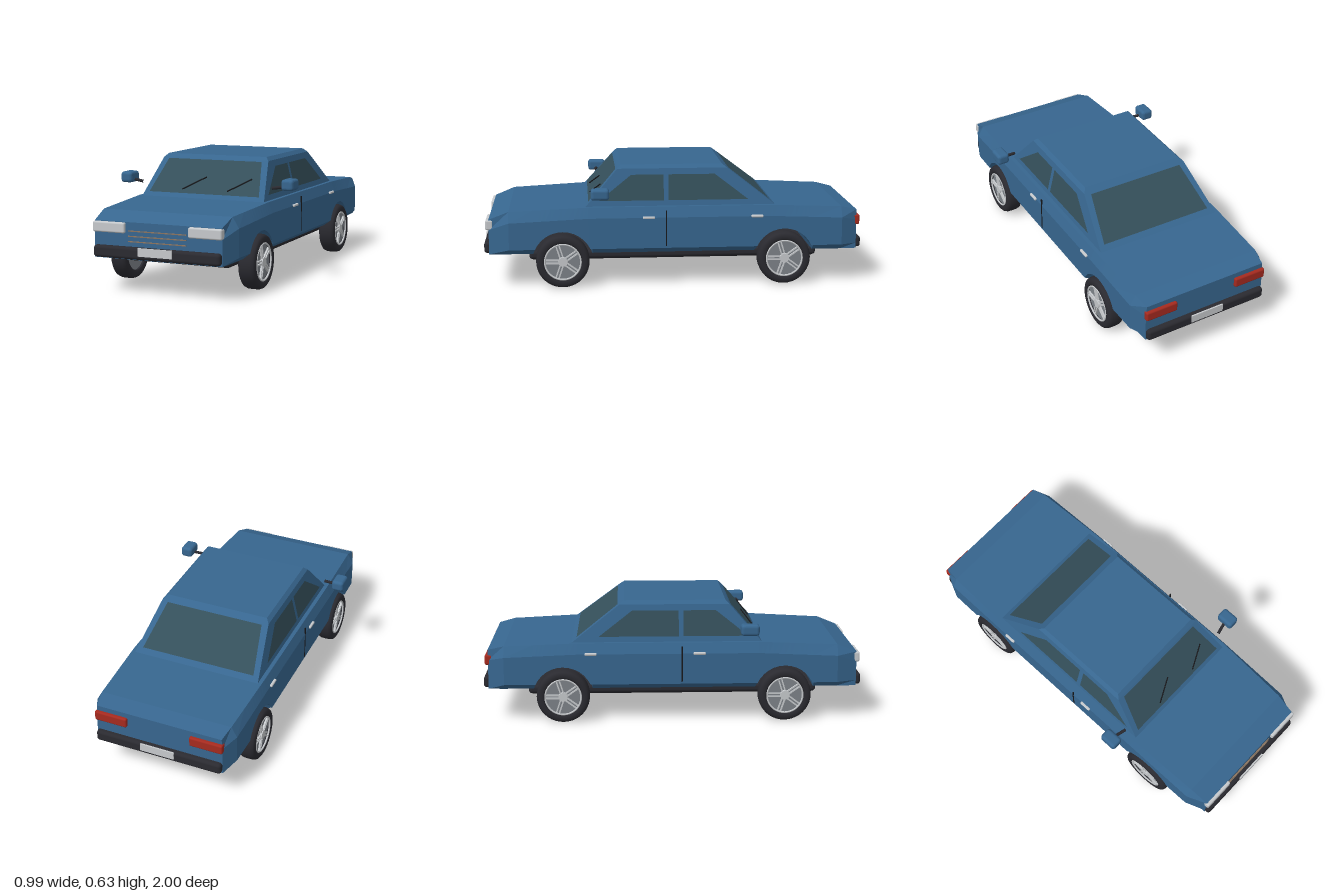
import * as THREE from 'three';
import { RoundedBoxGeometry } from 'three/addons/geometries/RoundedBoxGeometry.js';

const mat = (name, color, extra = {}) => Object.assign(new THREE.MeshStandardMaterial({ color, ...extra }), { name });

export function createModel() {
  const paint = mat('blue paint', 0x37668f, { flatShading: true });
  const glass = mat('tinted glass', 0x344f5a, { side: THREE.DoubleSide });
  const rubber = mat('dark rubber', 0x2a2a30);
  const black = mat('black trim', 0x17171a);
  const chrome = mat('chrome', 0xc6c9cc);
  const alloy = mat('alloy shadow', 0x7d8288);
  const red = mat('tail light red', 0xa52a1f);
  const bronze = mat('grille bronze', 0x8a7460);

  const car = new THREE.Group();
  car.name = 'car';
  const add = (name, geo, material, x = 0, y = 0, z = 0, parent = car) => {
    const m = new THREE.Mesh(geo, material);
    m.name = name;
    m.position.set(x, y, z);
    parent.add(m);
    return m;
  };
  const box = (w, h, d) => new THREE.BoxGeometry(w, h, d);
  const rbox = (w, h, d, r) => new RoundedBoxGeometry(w, h, d, 3, r);
  const fromTriangles = (pts) => {
    const g = new THREE.BufferGeometry();
    g.setAttribute('position', new THREE.Float32BufferAttribute(pts.flat(), 3));
    g.computeVertexNormals();
    return g;
  };
  // Flat-faced skin over rings of equal length, closed at both ends
  const loft = (rings) => {
    const t = [], n = rings[0].length, first = rings[0], last = rings[rings.length - 1];
    for (let i = 0; i < rings.length - 1; i++) {
      for (let k = 0; k < n; k++) {
        const a = rings[i][k], b = rings[i][(k + 1) % n];
        const d = rings[i + 1][k], c = rings[i + 1][(k + 1) % n];
        t.push(a, d, c, a, c, b);
      }
    }
    for (let k = 1; k < n - 1; k++) {
      t.push(first[0], first[k], first[k + 1], last[0], last[k + 1], last[k]);
    }
    return fromTriangles(t);
  };
  const panel = (c) => {
    const t = [];
    for (let k = 1; k < c.length - 1; k++) t.push(c[0], c[k], c[k + 1]);
    return fromTriangles(t);
  };

  // Lower body: stations of z, half width, deck height, deck half width
  const stations = [
    [0.97, 0.345, 0.36, 0.343], [0.865, 0.385, 0.402, 0.352], [0.45, 0.39, 0.422, 0.368],
    [-0.5, 0.39, 0.422, 0.368], [-0.885, 0.385, 0.406, 0.355], [-0.97, 0.345, 0.385, 0.34],
  ];
  const axles = [0.587, -0.578], wheelY = 0.14, archR = 0.158;
  const zs = stations.map((s) => s[0]);
  for (const a of axles) {
    for (let i = 0; i <= 14; i++) zs.push(a + archR * Math.cos(THREE.MathUtils.degToRad(13 + (154 * i) / 14)));
  }
  zs.sort((a, b) => b - a);
  const section = (z) => {
    let i = 0;
    while (i < stations.length - 2 && z < stations[i + 1][0]) i++;
    const p = stations[i], q = stations[i + 1], f = (z - p[0]) / (q[0] - p[0]);
    const [w, top, topW] = [1, 2, 3].map((k) => THREE.MathUtils.lerp(p[k], q[k], f));
    let arch = 0;
    for (const a of axles) {
      const dz = Math.abs(z - a);
      if (dz < archR) arch = wheelY + Math.sqrt(archR * archR - dz * dz);
    }
    const half = [
      [Math.min(w, 0.35), Math.max(0.176, arch)], [w, Math.max(0.205, arch)],
      [w, top - 0.055], [topW, top],
    ];
    return [...half.map(([x, y]) => [x, y, z]), ...half.reverse().map(([x, y]) => [-x, y, z])];
  };
  add('body', loft(zs.map(section)), paint);
  add('floorPan', rbox(0.58, 0.046, 1.53, 0.018), rubber, 0, 0.152, 0);
  add('floorPlate', box(0.55, 0.004, 1.49), black, 0, 0.1285, 0);

  // Cabin with sloping pillars and a chamfered roof edge: y, half width, front z, back z
  const levels = [[0.632, 0.283, 0.277, -0.255], [0.613, 0.302, 0.297, -0.28], [0.41, 0.35, 0.475, -0.545]];
  add('cabin', loft(levels.map(([y, x, f, b]) => [[x, y, f], [x, y, b], [-x, y, b], [-x, y, f]])), paint);
  const slope = (y, k) => THREE.MathUtils.mapLinear(y, 0.41, 0.613, levels[2][k], levels[1][k]);

  // Windows lie just above the cabin faces
  const screen = (k, off) => panel([[-0.313, 0.443], [0.313, 0.443], [0.268, 0.608], [-0.268, 0.608]]
    .map(([x, y]) => [x, y, slope(y, k) + off]));
  add('windscreen', screen(2, 0.004), glass);
  add('rearWindow', screen(3, -0.004), glass);
  const sideWindows = {
    frontSideWindow: [[0.395, 0.45], [0.225, 0.582], [0.055, 0.582], [0.055, 0.45]],
    rearSideWindow: [[0.03, 0.45], [0.03, 0.582], [-0.215, 0.582], [-0.39, 0.45]],
  };
  for (const s of [1, -1]) {
    for (const [name, pts] of Object.entries(sideWindows)) {
      add(name, panel(pts.map(([z, y]) => [s * (slope(y, 1) + 0.003), y, z])), glass);
    }
  }

  // Thin rod between two points
  const rod = (name, a, b, r, material) => {
    const p = new THREE.Vector3(...a), q = new THREE.Vector3(...b);
    add(name, new THREE.TubeGeometry(new THREE.LineCurve3(p, q), 1, r, 8), material);
  };
  for (const x of [-0.127, 0.13]) {
    rod('wiper', [x, 0.462, slope(0.462, 2) + 0.008], [x + 0.117, 0.525, slope(0.525, 2) + 0.008], 0.0035, black);
  }

  // Bumpers, plates and lamps at both ends
  for (const s of [1, -1]) {
    add(s > 0 ? 'frontBumper' : 'rearBumper', rbox(0.686, 0.06, 0.06, 0.016), rubber, 0, 0.21, s * 0.966);
    add('plate', box(0.184, 0.041, 0.008), chrome, 0, 0.22, s * 0.996);
    for (const x of [0.26, -0.26]) {
      add(s > 0 ? 'headlight' : 'taillight', rbox(0.177, 0.053, 0.04, 0.009), s > 0 ? chrome : red, x, 0.331, s * 0.967);
    }
  }
  for (const y of [0.317, 0.291, 0.265]) add('grilleBar', box(0.315, 0.005, 0.008), bronze, 0, y, 0.971);

  // Mirrors, door seams and handles on both sides
  for (const s of [1, -1]) {
    add('mirror', rbox(0.066, 0.058, 0.095, 0.016), paint, s * 0.46, 0.509, 0.392);
    rod('mirrorArm', [s * 0.368, 0.488, 0.408], [s * 0.44, 0.497, 0.392], 0.008, rubber);
    add('doorSeam', box(0.006, 0.19, 0.007), black, s * 0.389, 0.31, 0.045);
    for (const z of [0.137, -0.432]) add('doorHandle', rbox(0.016, 0.013, 0.064, 0.005), chrome, s * 0.392, 0.368, z);
  }

  // Wheels: rounded tyre, dished rim and five double spokes
  const tyreProfile = [[0.096, -0.04], [0.108, -0.046], [0.124, -0.045], [0.134, -0.038], [0.139, -0.025], [0.14, 0],
    [0.139, 0.025], [0.134, 0.038], [0.124, 0.045], [0.108, 0.046], [0.096, 0.04], [0.096, -0.04]]
    .map(([r, y]) => new THREE.Vector2(r, y));
  const tyre = new THREE.LatheGeometry(tyreProfile, 40).rotateZ(-Math.PI / 2);
  const disc = new THREE.CylinderGeometry(0.097, 0.097, 0.06, 32).rotateZ(-Math.PI / 2);
  const lip = new THREE.TorusGeometry(0.094, 0.005, 8, 40).rotateY(Math.PI / 2);
  const hub = new THREE.CylinderGeometry(0.024, 0.026, 0.02, 20).rotateZ(-Math.PI / 2);
  for (const s of [1, -1]) {
    for (const z of axles) {
      const wheel = new THREE.Group();
      wheel.name = 'wheel';
      wheel.position.set(s * 0.358, wheelY, z);
      wheel.rotation.y = s > 0 ? 0 : Math.PI;
      car.add(wheel);
      add('tyre', tyre, rubber, 0, 0, 0, wheel);
      add('rim', disc, alloy, 0, 0, 0, wheel);
      add('rimLip', lip, chrome, 0.04, 0, 0, wheel);
      add('hub', hub, chrome, 0.034, 0, 0, wheel);
      for (let i = 0; i < 5; i++) {
        for (const side of [-1, 1]) {
          const spoke = box(0.012, 0.076, 0.007).translate(0.034, 0.056, side * 0.008);
          add('spoke', spoke, chrome, 0, 0, 0, wheel).rotation.x = (i * Math.PI * 2) / 5 + 0.3;
        }
      }
    }
  }
  return car;
}
